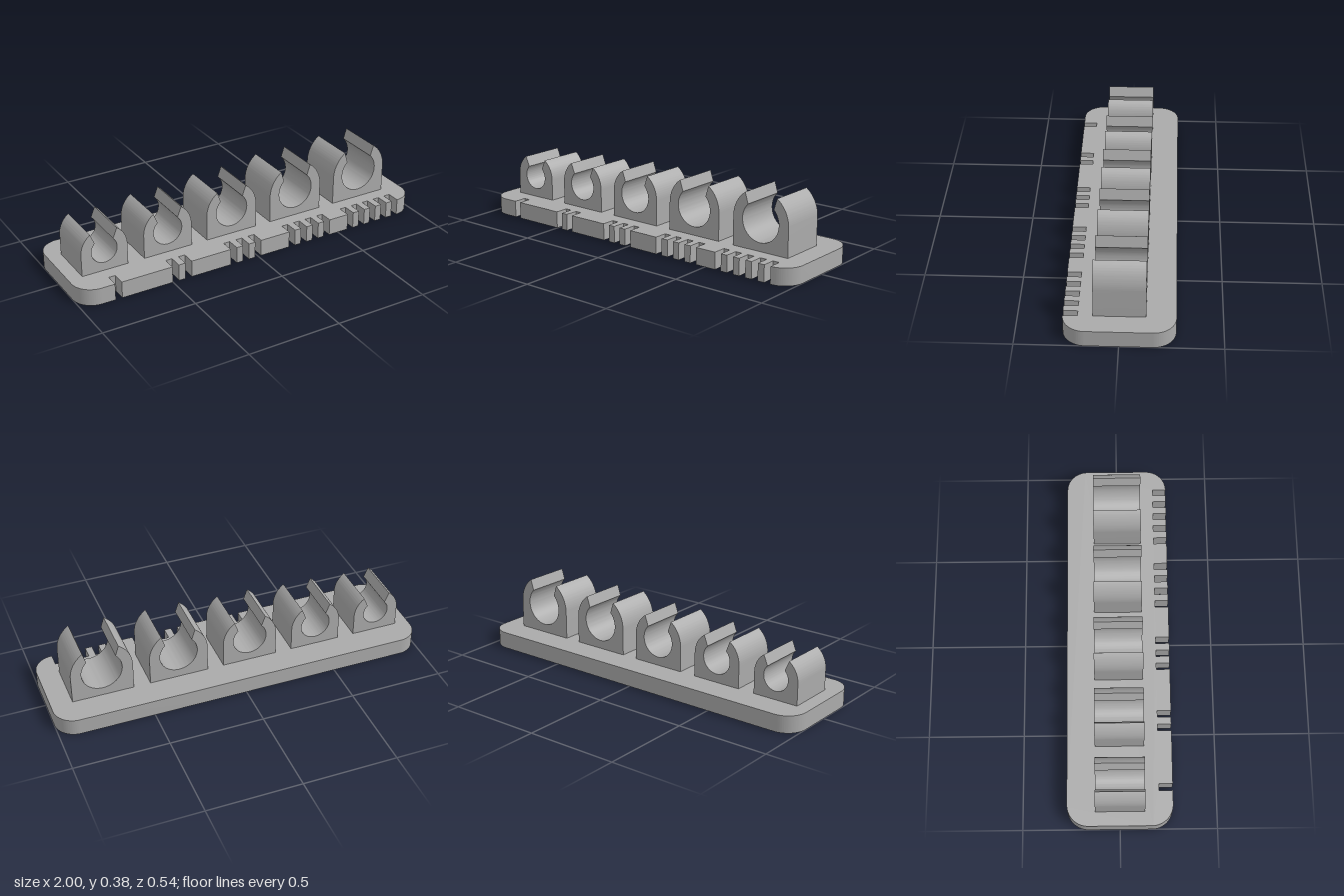
import * as THREE from 'three';
import { toCreasedNormals } from 'three/addons/utils/BufferGeometryUtils.js';

const HALF_X = 1, HALF_Z = 0.272, PLATE_H = 0.09, CORNER = 0.11;
const SLOT_W = 0.036, SLOT_PITCH = 0.073, SLOT_END = 0.2;
const CLIP_DEPTH = 0.254, WALL = 0.056, BORE_BOTTOM = 0.135;

// Clips from smallest to largest: centre x and outer radius
const CLIPS = [[-0.8, 0.126], [-0.447, 0.136], [-0.074, 0.147], [0.317, 0.157], [0.725, 0.163]];

function extrude(shape, depth) {
  const geo = new THREE.ExtrudeGeometry(shape, { depth, bevelEnabled: false, curveSegments: 32 });
  return toCreasedNormals(geo, 0.5);
}

// Rounded plate outline; each clip has one more size-marking slot than the last
function plateGeometry() {
  const s = new THREE.Shape();
  const cx = HALF_X - CORNER, cz = HALF_Z - CORNER;
  s.moveTo(-cx, HALF_Z);
  CLIPS.forEach(([x], i) => {
    for (let k = 0; k <= i; k++) {
      const c = x + (k - i / 2) * SLOT_PITCH;
      s.lineTo(c - SLOT_W / 2, HALF_Z);
      s.lineTo(c - SLOT_W / 2, SLOT_END);
      s.lineTo(c + SLOT_W / 2, SLOT_END);
      s.lineTo(c + SLOT_W / 2, HALF_Z);
    }
  });
  s.lineTo(cx, HALF_Z);
  s.absarc(cx, cz, CORNER, Math.PI / 2, 0, true);
  s.absarc(cx, -cz, CORNER, 0, -Math.PI / 2, true);
  s.absarc(-cx, -cz, CORNER, -Math.PI / 2, -Math.PI, true);
  s.absarc(-cx, cz, CORNER, Math.PI, Math.PI / 2, true);
  return extrude(s, PLATE_H).rotateX(Math.PI / 2).translate(0, PLATE_H, 0);
}

// Open snap clip: straight sides, round shoulders, flared mouth above the bore
function clipGeometry(R) {
  const r = R - WALL, cy = BORE_BOTTOM + r;
  const tip = THREE.MathUtils.degToRad(55), neck = THREE.MathUtils.degToRad(45);
  const s = new THREE.Shape();
  s.moveTo(-R, PLATE_H);
  s.lineTo(R, PLATE_H);
  s.absarc(0, cy, R, 0, tip, false);
  s.absarc(0, cy, r, neck, -Math.PI - neck, true);
  s.absarc(0, cy, R, Math.PI - tip, Math.PI, false);
  return extrude(s, CLIP_DEPTH).translate(0, 0, -CLIP_DEPTH / 2);
}

export function createModel() {
  const group = new THREE.Group();
  group.name = 'clipRack';
  const grey = new THREE.MeshStandardMaterial({ color: 0xaaaaaa });
  grey.name = 'grey plastic';

  const plate = new THREE.Mesh(plateGeometry(), grey);
  plate.name = 'basePlate';
  group.add(plate);

  CLIPS.forEach(([x, R], i) => {
    const clip = new THREE.Mesh(clipGeometry(R), grey);
    clip.name = `clip${i + 1}`;
    clip.position.x = x;
    group.add(clip);
  });
  return group;
}
